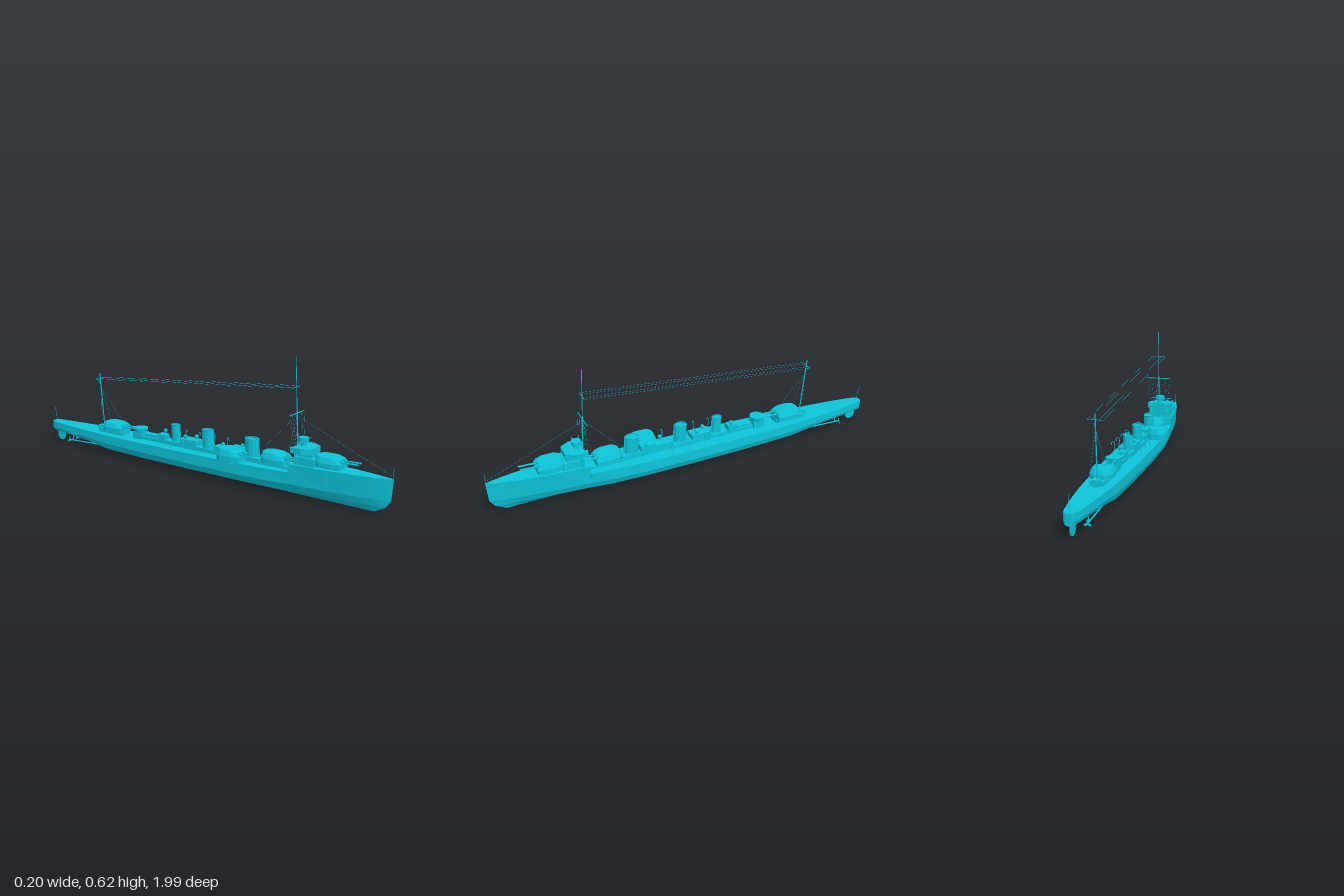
import * as THREE from 'three';

const material = new THREE.MeshStandardMaterial({ color: 0x0cc4d9, flatShading: true, side: THREE.DoubleSide });
const V = (x, y, z) => new THREE.Vector3(x, y, z);

export function createModel() {
  const ship = new THREE.Group();
  ship.name = 'warship';
  ship.position.x = 0.013;

  const add = (name, geometry, x = 0, y = 0, z = 0, parent = ship) => {
    const mesh = new THREE.Mesh(geometry, material);
    mesh.name = name;
    mesh.position.set(x, y, z);
    parent.add(mesh);
    return mesh;
  };
  // box given by its z and y ranges, centred on x
  const block = (name, w, y0, y1, z0, z1, x = 0) =>
    add(name, new THREE.BoxGeometry(w, y1 - y0, z1 - z0), x, (y0 + y1) / 2, (z0 + z1) / 2);
  // round bar between two points
  const rod = (name, a, b, r, sides = 6, parent = ship) => {
    const mesh = add(name, new THREE.CylinderGeometry(r, r, a.distanceTo(b), sides), 0, 0, 0, parent);
    mesh.position.copy(a).add(b).multiplyScalar(0.5);
    mesh.quaternion.setFromUnitVectors(V(0, 1, 0), b.clone().sub(a).normalize());
    return mesh;
  };
  const wire = (name, a, b) => rod(name, a, b, 0.0005, 3);
  const both = (fn) => [-1, 1].forEach(fn);

  add('hull', hullGeometry());

  // gun houses: rounded back, sloping front, twin barrels pointing forward
  const turret = (name, x, y, z, h, barrel) => {
    const g = new THREE.Group();
    g.name = name;
    g.position.set(x, y, z);
    ship.add(g);
    const plan = new THREE.Shape([[-0.043, 0.065], [-0.05, 0.03], [-0.05, -0.03], [-0.04, -0.052], [-0.02, -0.065],
      [0.02, -0.065], [0.04, -0.052], [0.05, -0.03], [0.05, 0.03], [0.043, 0.065]].map(p => new THREE.Vector2(p[0], -p[1])));
    const geo = new THREE.ExtrudeGeometry(plan, { depth: h, bevelEnabled: false, steps: 2 });
    geo.rotateX(-Math.PI / 2);
    const p = geo.attributes.position;
    for (let i = 0; i < p.count; i++) {
      if (p.getY(i) < h * 0.9) continue;
      p.setX(i, p.getX(i) * 0.8);
      p.setZ(i, p.getZ(i) * 0.85);
      if (p.getZ(i) > 0.04) p.setY(i, h * 0.85);
    }
    add('gunHouse', geo, 0, 0, 0, g);
    add('turretBase', new THREE.CylinderGeometry(0.035, 0.035, 0.016, 12), 0, -0.004, 0, g);
    both(s => {
      add('gunPort', new THREE.BoxGeometry(0.014, h * 0.5, 0.02), s * 0.015, h * 0.6, 0.055, g);
      rod('gunBarrel', V(s * 0.015, h * 0.62, 0.05), V(s * 0.015, h * 0.7, barrel), 0.0042, 8, g);
    });
  };
  turret('foreTurret', 0, 0.16, 0.7, 0.047, 0.14);
  turret('secondTurret', 0, 0.125, 0.425, 0.05, 0.12);
  turret('sideTurret', -0.063, 0.118, 0.225, 0.054, 0.085);
  turret('aftTurret', 0, 0.122, -0.54, 0.043, 0.14);

  // bridge
  block('bridgeBase', 0.1, 0.15, 0.19, 0.55, 0.65);
  block('bridgeTower', 0.075, 0.185, 0.21, 0.55, 0.63);
  const bridgePlan = new THREE.Shape([[-0.062, 0.545], [0.062, 0.545], [0.062, 0.59], [0.035, 0.635], [-0.035, 0.635], [-0.062, 0.59]]
    .map(p => new THREE.Vector2(p[0], -p[1])));
  add('bridgeWings', new THREE.ExtrudeGeometry(bridgePlan, { depth: 0.026, bevelEnabled: false }).rotateX(-Math.PI / 2), 0, 0.205);
  add('directorPedestal', new THREE.CylinderGeometry(0.014, 0.014, 0.025, 8), 0, 0.238, 0.57);
  add('director', new THREE.CylinderGeometry(0.023, 0.023, 0.022, 8), 0, 0.257, 0.57);
  rod('rangefinder', V(-0.058, 0.254, 0.575), V(0.058, 0.254, 0.575), 0.002);
  both(s => {
    block('bridgeSupport', 0.008, 0.15, 0.206, 0.555, 0.565, s * 0.052);
    block('searchlight', 0.014, 0.2, 0.225, 0.528, 0.548, s * 0.04);
  });

  // deckhouses along the centre line
  [[0.07, 0.125, 0.36, 0.53], [0.06, 0.135, 0.25, 0.36], [0.055, 0.163, 0.19, 0.265], [0.05, 0.15, 0.1, 0.19],
   [0.06, 0.13, -0.02, 0.11], [0.055, 0.155, -0.1, 0], [0.05, 0.13, -0.18, -0.1], [0.04, 0.152, -0.245, -0.2],
   [0.035, 0.125, -0.4, -0.18], [0.055, 0.14, -0.4, -0.34], [0.06, 0.124, -0.63, -0.47]]
    .forEach(([w, top, z0, z1]) => block('deckhouse', w, 0.1, top, z0, z1));
  add('searchlightPlatform', new THREE.CylinderGeometry(0.037, 0.033, 0.022, 10), 0, 0.151, -0.37);

  // funnels, raked slightly aft, with a rim, inner pipe and side pipes
  [[0.305, 0.034, 0.218], [0.055, 0.031, 0.218], [-0.14, 0.023, 0.213]].forEach(([z, r, top]) => {
    const g = new THREE.Group();
    g.name = 'funnel';
    g.position.set(0, 0.11, z);
    g.rotation.x = -0.06;
    ship.add(g);
    const h = top - 0.11;
    add('funnelCasing', new THREE.CylinderGeometry(r, r, h, 12, 1, true).scale(0.72, 1, 1), 0, h / 2, 0, g);
    add('funnelRim', new THREE.TorusGeometry(r, 0.002, 4, 12).rotateX(Math.PI / 2).scale(0.72, 1, 1), 0, h, 0, g);
    add('funnelCap', new THREE.CylinderGeometry(r * 0.95, r * 0.95, 0.003, 12).scale(0.72, 1, 1), 0, h - 0.008, 0, g);
    rod('steamPipe', V(0, 0, r + 0.004), V(0, h + 0.004, r + 0.004), 0.003, 6, g);
  });

  // ventilators and torpedo tubes
  [[0.018, 0.235], [-0.018, 0.15], [0.015, -0.03], [-0.015, -0.075], [0.012, -0.22]].forEach(([x, z]) => {
    rod('ventilatorTrunk', V(x, 0.11, z), V(x, 0.165, z), 0.006, 8);
    add('ventilatorCowl', new THREE.SphereGeometry(0.01, 8, 5), x, 0.167, z + 0.002);
  });
  both(s => rod('torpedoTube', V(s * 0.009, 0.135, -0.33), V(s * 0.009, 0.135, -0.25), 0.008, 8));

  // boat davits curling outward
  [-0.13, -0.05, 0.04, 0.12].forEach(z => both(s => {
    const curve = new THREE.CatmullRomCurve3([V(s * 0.072, 0.108, z), V(s * 0.064, 0.14, z), V(s * 0.062, 0.162, z),
      V(s * 0.068, 0.173, z), V(s * 0.077, 0.168, z), V(s * 0.079, 0.155, z)]);
    add('davit', new THREE.TubeGeometry(curve, 10, 0.0018, 5));
  }));

  // masts, yards and flagstaffs
  const foreTop = V(0, 0.487, 0.527), aftTop = V(0, 0.383, -0.643);
  rod('foremast', V(0, 0.12, 0.546), V(0, 0.38, 0.532), 0.0032);
  rod('foreTopmast', V(0, 0.37, 0.532), V(0, 0.62, 0.519), 0.0018);
  rod('lowerYard', V(-0.064, 0.37, 0.532), V(0.064, 0.37, 0.532), 0.0022);
  rod('upperYard', V(-0.034, 0.487, 0.527), V(0.034, 0.487, 0.527), 0.0014);
  rod('aftMast', V(0, 0.1, -0.618), V(0, 0.41, -0.645), 0.0028);
  rod('aftYard', V(-0.034, 0.383, -0.643), V(0.034, 0.383, -0.643), 0.0014);
  rod('aftGaff', V(0, 0.35, -0.64), V(0, 0.375, -0.665), 0.0012);
  block('mastHouse', 0.03, 0.1, 0.135, -0.65, -0.61);
  rod('jackstaff', V(0, 0.15, 0.99), V(0, 0.205, 0.993), 0.001);
  rod('ensignStaff', V(0, 0.1, -0.975), V(0, 0.18, -0.988), 0.001);

  // rigging
  wire('forestay', V(0, 0.36, 0.532), V(0, 0.17, 0.985));
  wire('backstay', V(0, 0.36, 0.532), V(0, 0.13, 0.31));
  wire('aftStay', V(0, 0.33, -0.637), V(0, 0.13, -0.45));
  both(s => {
    [0.034, 0.016].forEach(x => wire('aerial', foreTop.clone().setX(s * x), aftTop.clone().setX(s * x)));
    [0.06, 0.04].forEach(x => wire('signalHalyard', V(s * x, 0.37, 0.532), V(s * (x - 0.012), 0.23, 0.55)));
    wire('shroud', V(0, 0.36, 0.532), V(s * 0.05, 0.115, 0.5));
    wire('aftShroud', V(0, 0.35, -0.64), V(s * 0.045, 0.105, -0.6));
  });

  // anchors, propellers, guards and rudder
  both(s => {
    add('anchor', new THREE.BoxGeometry(0.006, 0.014, 0.012), s * 0.02, 0.137, 0.925);
    rod('propellerShaft', V(s * 0.03, 0.035, -0.55), V(s * 0.03, 0.022, -0.86), 0.0035);
    rod('shaftBracket', V(s * 0.03, 0.023, -0.83), V(s * 0.02, 0.06, -0.83), 0.003);
    for (let i = 0; i < 3; i++) {
      const blade = add('propellerBlade', new THREE.SphereGeometry(0.009, 8, 5).scale(0.6, 1, 0.2).translate(0, 0.009, 0), s * 0.03, 0.022, -0.853);
      blade.rotation.z = i * Math.PI * 2 / 3;
    }
    add('propellerGuard', new THREE.TorusGeometry(0.018, 0.0014, 4, 16).rotateX(Math.PI / 2), s * 0.052, 0.075, -0.795);
  });
  const rudder = new THREE.Shape([[-0.026, 0.06], [-0.03, 0.025], [-0.022, 0.009], [-0.005, 0.003], [0.012, 0.006], [0.023, 0.02], [0.02, 0.06]]
    .map(p => new THREE.Vector2(...p)));
  add('rudder', new THREE.ExtrudeGeometry(rudder, { depth: 0.008, bevelEnabled: false }).rotateY(-Math.PI / 2), 0.004, 0, -0.94);
  return ship;
}

// hull lofted from stern to bow: z, half width, deck height, keel height, stem rake
function hullGeometry() {
  const stations = [
    [-0.995, 0.012, 0.106, 0.056, 0], [-0.985, 0.022, 0.106, 0.055, 0], [-0.95, 0.031, 0.105, 0.053, 0],
    [-0.85, 0.045, 0.105, 0.047, 0], [-0.7, 0.06, 0.105, 0.035, 0], [-0.55, 0.07, 0.105, 0.004, 0],
    [-0.3, 0.08, 0.107, 0, 0], [0, 0.085, 0.11, 0, 0], [0.25, 0.084, 0.112, 0, 0], [0.42, 0.077, 0.114, 0, 0],
    [0.53, 0.068, 0.116, 0, 0], [0.53, 0.066, 0.153, 0, 0], [0.7, 0.054, 0.154, 0, 0], [0.83, 0.039, 0.155, 0, 0.01],
    [0.91, 0.025, 0.156, 0, 0.025], [0.96, 0.013, 0.157, 0, 0.05], [0.995, 0.001, 0.158, 0, 0.08]];
  const rings = stations.map(([z, w, deck, keel, rake]) => {
    const fine = Math.max(0, (z - 0.4) / 0.6); // sections sharpen towards the bow
    const bilge = keel + (0.065 - keel) * 0.42, side = keel + (0.08 - keel) * 0.75;
    const half = [[w * (0.83 - 0.4 * fine), bilge], [w * (1.01 - 0.25 * fine), side], [w, deck]];
    return [[0, keel], ...half, ...half.map(p => [-p[0], p[1]]).reverse()]
      .map(([x, y]) => [x, y, z - rake * Math.pow(Math.max(0, 1 - y / 0.155), 5)]);
  });
  const out = [];
  for (let i = 0; i < rings.length - 1; i++) {
    const a = rings[i], b = rings[i + 1];
    for (let j = 0; j < 7; j++) {
      const k = (j + 1) % 7;
      out.push(...a[j], ...a[k], ...b[k], ...a[j], ...b[k], ...b[j]);
    }
  }
  for (let j = 1; j < 6; j++) out.push(...rings[0][0], ...rings[0][j + 1], ...rings[0][j]);
  const geo = new THREE.BufferGeometry();
  geo.setAttribute('position', new THREE.Float32BufferAttribute(out, 3));
  geo.computeVertexNormals();
  return geo;
}
